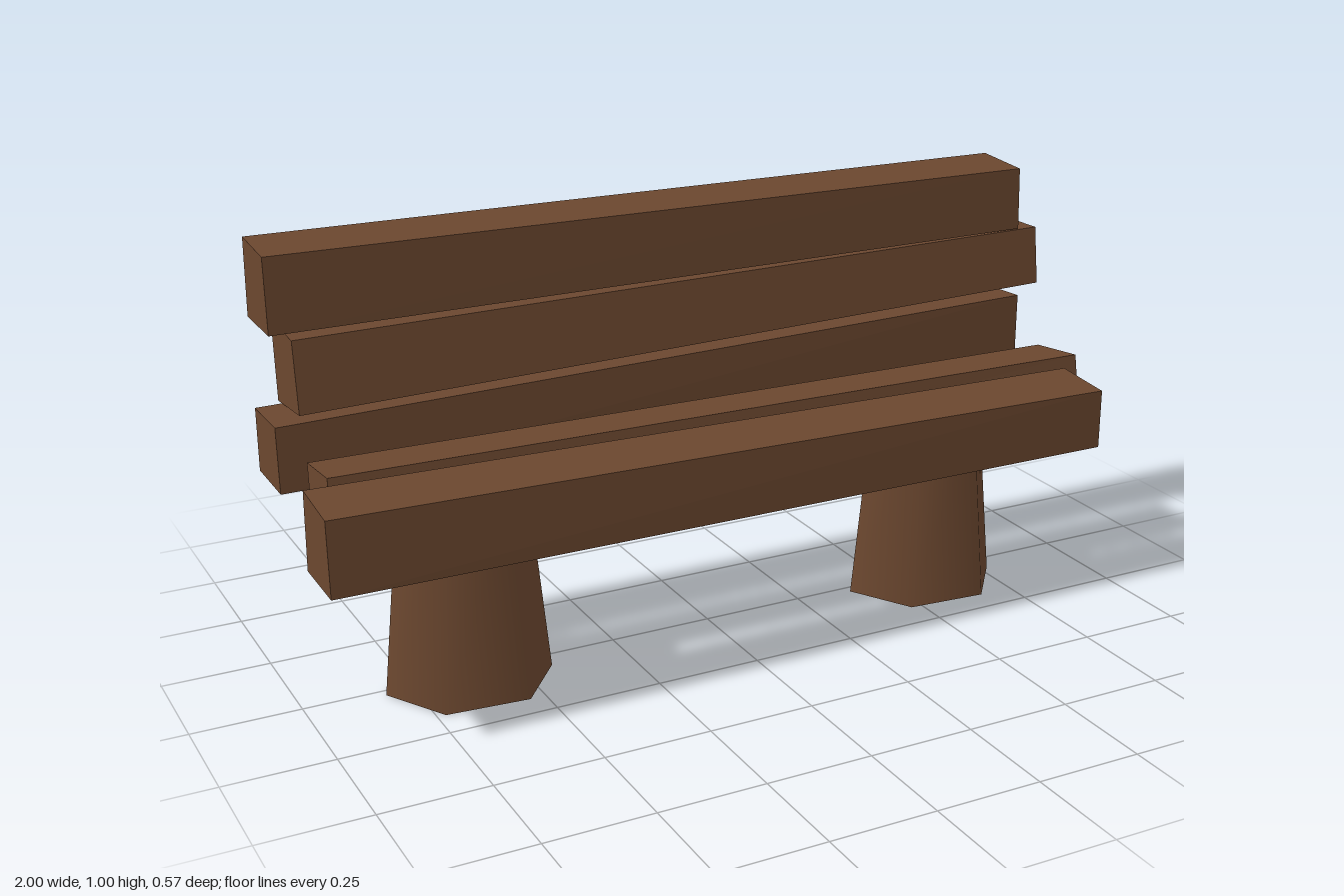
import * as THREE from 'three';

// Rough-hewn beam lofted between two end sections.
// Each section lists [z, y] corners: top front, top back, bottom back, bottom front.
function beamGeometry(x0, left, x1, right) {
  const L = left.map(([z, y]) => [x0, y, z]);
  const R = right.map(([z, y]) => [x1, y, z]);
  const pos = [];
  const quad = (a, b, c, d) => pos.push(...a, ...b, ...c, ...a, ...c, ...d);
  for (let i = 0; i < 4; i++) {
    const j = (i + 1) % 4;
    quad(L[i], R[i], R[j], L[j]);
  }
  quad(R[3], R[2], R[1], R[0]);
  quad(L[0], L[1], L[2], L[3]);
  const g = new THREE.BufferGeometry();
  g.setAttribute('position', new THREE.Float32BufferAttribute(pos, 3));
  g.computeVertexNormals();
  return g;
}

export function createModel() {
  const bench = new THREE.Group();
  bench.name = 'bench';
  const wood = new THREE.MeshStandardMaterial({ color: 0x6b472f });
  wood.name = 'brown wood';

  // Uneven planks: name, left x, left section, right x, right section
  const planks = [
    ['seatFrontPlank',
      -1, [[0.277, 0.549], [0.131, 0.563], [0.125, 0.38], [0.285, 0.379]],
      0.93, [[0.269, 0.515], [0.117, 0.528], [0.109, 0.371], [0.269, 0.371]]],
    ['seatRearPlank',
      -0.93, [[0.069, 0.555], [-0.075, 0.541], [-0.065, 0.37], [0.095, 0.395]],
      0.995, [[0.075, 0.541], [-0.08, 0.523], [-0.061, 0.363], [0.104, 0.392]]],
    ['backLowerPlank',
      -0.99, [[-0.09, 0.625], [-0.245, 0.622], [-0.245, 0.475], [-0.083, 0.475]],
      0.94, [[-0.104, 0.656], [-0.253, 0.648], [-0.261, 0.475], [-0.104, 0.475]]],
    ['backMiddlePlank',
      -0.93, [[-0.13, 0.8], [-0.285, 0.806], [-0.272, 0.621], [-0.108, 0.637]],
      0.995, [[-0.12, 0.824], [-0.272, 0.821], [-0.264, 0.667], [-0.101, 0.683]]],
    ['backTopPlank',
      -0.985, [[-0.112, 0.995], [-0.259, 1.005], [-0.265, 0.825], [-0.104, 0.825]],
      0.94, [[-0.123, 0.979], [-0.275, 0.989], [-0.28, 0.829], [-0.117, 0.827]]],
  ];
  for (const [name, ...ends] of planks) {
    const plank = new THREE.Mesh(beamGeometry(...ends), wood);
    plank.name = name;
    bench.add(plank);
  }

  // Six-sided tapering stump legs, slightly flattened and turned
  const legGeometry = new THREE.CylinderGeometry(0.148, 0.194, 0.458, 6);
  legGeometry.rotateY(Math.PI / 6);
  if (Math.abs(legGeometry.attributes.position.getX(0)) < 0.01) legGeometry.rotateY(Math.PI / 6);
  legGeometry.scale(1, 1, 0.84);
  legGeometry.rotateY(-0.08);
  for (const [name, x] of [['rightLeg', -0.622], ['leftLeg', 0.58]]) {
    const leg = new THREE.Mesh(legGeometry, wood);
    leg.name = name;
    leg.position.set(x, 0.229, 0.038);
    bench.add(leg);
  }
  return bench;
}
